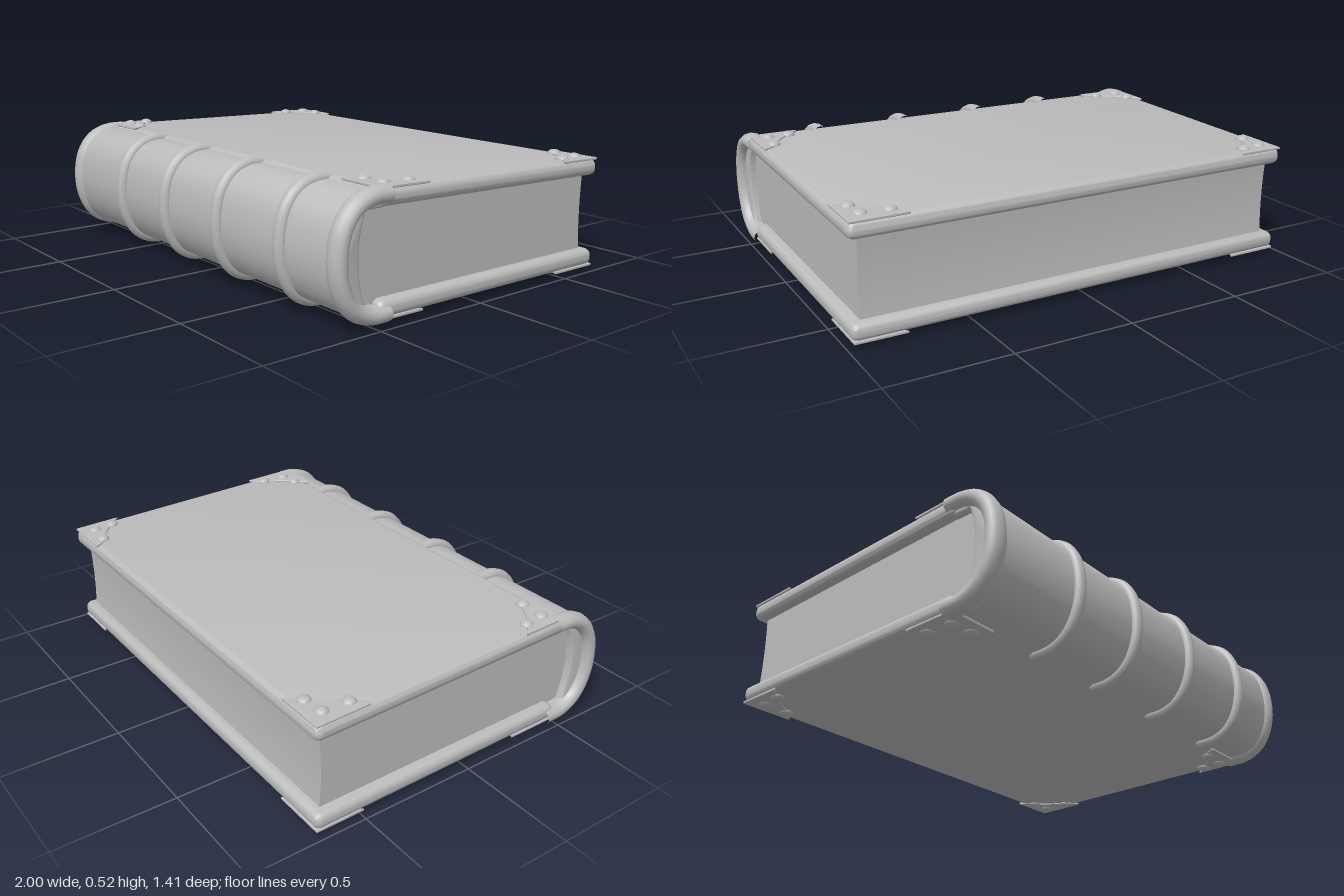
import * as THREE from 'three';
import { toCreasedNormals } from 'three/addons/utils/BufferGeometryUtils.js';
import { RoundedBoxGeometry } from 'three/addons/geometries/RoundedBoxGeometry.js';

export function createModel() {
  const book = new THREE.Group();
  book.name = 'book';
  const grey = new THREE.MeshStandardMaterial({ color: 0xbcbcbc });
  grey.name = 'plain grey';

  const add = (name, geometry, parent = book) => {
    const mesh = new THREE.Mesh(geometry, grey);
    mesh.name = name;
    parent.add(mesh);
    return mesh;
  };

  // Outer faces of the two boards; both rise gently towards the spine
  const topY = (z) => 0.472 + 0.025 * (z + 0.7);
  const bottomY = (z) => 0.025 + 0.008 * (z + 0.7);
  const tilt = (geometry, slope) => {
    const p = geometry.attributes.position;
    for (let i = 0; i < p.count; i++) p.setY(i, p.getY(i) + slope * p.getZ(i));
    geometry.computeVertexNormals();
    return toCreasedNormals(geometry, 0.6);
  };

  // Boards with rounded edges
  const thick = 0.068, depth = 1.19, midZ = -0.108;
  const board = () => new RoundedBoxGeometry(1.96, thick, depth, 4, 0.028);
  add('topCover', tilt(board(), 0.025)).position.set(0, topY(midZ) - thick / 2, midZ);
  add('bottomCover', tilt(board(), 0.008)).position.set(0, bottomY(midZ) + thick / 2, midZ);

  // Profile given as [z, y], swept along x with a small bevel
  const sweep = (shape, halfLength, bevel) => {
    const g = new THREE.ExtrudeGeometry(shape, {
      depth: 2 * (halfLength - bevel), bevelEnabled: bevel > 0, bevelThickness: bevel,
      bevelSize: bevel, bevelOffset: -bevel, bevelSegments: 3, curveSegments: 16,
    });
    g.translate(0, 0, -(halfLength - bevel));
    g.rotateY(Math.PI / 2);
    return toCreasedNormals(g, 0.6);
  };

  // Page block, with a slightly hollow fore-edge
  const pages = new THREE.Shape();
  pages.moveTo(-0.58, 0.06);
  pages.lineTo(0.664, 0.06);
  pages.quadraticCurveTo(0.645, 0.25, 0.664, 0.44);
  pages.lineTo(-0.58, 0.455);
  pages.closePath();
  add('pages', sweep(pages, 0.935, 0));

  // Rounded spine
  const spinePoints = [
    [0.46, 0.49], [0.54, 0.487], [0.61, 0.455], [0.66, 0.385], [0.68, 0.27],
    [0.665, 0.165], [0.62, 0.085], [0.55, 0.045], [0.46, 0.04],
  ];
  const outer = spinePoints.map(([z, y]) => new THREE.Vector2(-z, y));
  const spine = new THREE.Shape();
  spine.moveTo(outer[0].x, outer[0].y);
  spine.splineThru(outer.slice(1));
  spine.lineTo(-0.46, 0.08);
  spine.lineTo(-0.54, 0.09);
  spine.quadraticCurveTo(-0.6, 0.27, -0.54, 0.43);
  spine.lineTo(-0.46, 0.43);
  spine.closePath();
  add('spine', sweep(spine, 0.965, 0.012));

  // Raised bands and end caps follow the spine's curve
  const band = (name, x, radius, inset, stretch) => {
    const path = new THREE.CatmullRomCurve3(spinePoints.map(([z, y]) =>
      new THREE.Vector3(0, 0.265 + (y - 0.265) * (1 - inset * 3), z - inset)));
    const g = new THREE.TubeGeometry(path, 36, radius, 12);
    g.scale(stretch, 1, 1);
    add(name, g).position.x = x;
  };
  [-0.51, -0.14, 0.25, 0.66].forEach((x) => band('spineBand', x, 0.026, 0, 1.1));
  [-1, 1].forEach((side) => band('spineEndCap', side * 0.955, 0.034, 0.018, 1.3));

  // Corner plate with three studs, modelled facing up with its corner at +x +z
  const plateShape = new THREE.Shape();
  plateShape.moveTo(0.01, 0.01);
  plateShape.lineTo(-0.22, 0.01);
  plateShape.quadraticCurveTo(-0.2, -0.05, -0.12, -0.08);
  plateShape.quadraticCurveTo(-0.05, -0.13, 0.01, -0.2);
  plateShape.closePath();
  const plateGeometry = new THREE.ExtrudeGeometry(plateShape, {
    depth: 0.006, bevelThickness: 0.003, bevelSize: 0.006, bevelOffset: -0.006, bevelSegments: 2,
  });
  plateGeometry.rotateX(-Math.PI / 2);
  plateGeometry.scale(1, 1, 1);
  const studGeometry = new THREE.SphereGeometry(0.028, 14, 6, 0, Math.PI * 2, 0, Math.PI / 2);
  studGeometry.scale(1, 0.65, 1);

  const corner = (sideX, sideZ, up) => {
    const z = sideZ > 0 ? 0.475 : -0.69;
    const group = new THREE.Group();
    group.name = 'cornerFitting';
    // Quarter turn that brings the plate's own corner (+x, -z) to the board's corner
    const turn = { '1,-1': 0, '-1,-1': 1, '-1,1': 2, '1,1': 3 }[`${sideX * up},${sideZ}`];
    const plate = add('cornerPlate', plateGeometry, group);
    plate.rotation.y = turn * Math.PI / 2;
    // The plate's corner points to (+x, -z) after being laid flat
    const studs = [[-0.055, 0.055], [-0.165, 0.045], [-0.045, 0.145]];
    studs.forEach(([x, zz]) => {
      const stud = add('stud', studGeometry, plate);
      stud.position.set(x, 0.005, zz);
    });
    group.position.set(sideX * 0.965, up > 0 ? topY(z) - 0.002 : bottomY(z) + 0.002, z);
    group.rotation.x = up > 0 ? -0.025 : -0.008;
    // Underside fittings are rolled over to face down
    if (up < 0) group.rotation.z = Math.PI;
    book.add(group);
  };
  for (const sideX of [-1, 1]) for (const sideZ of [-1, 1]) for (const up of [-1, 1]) corner(sideX, sideZ, up);

  return book;
}
